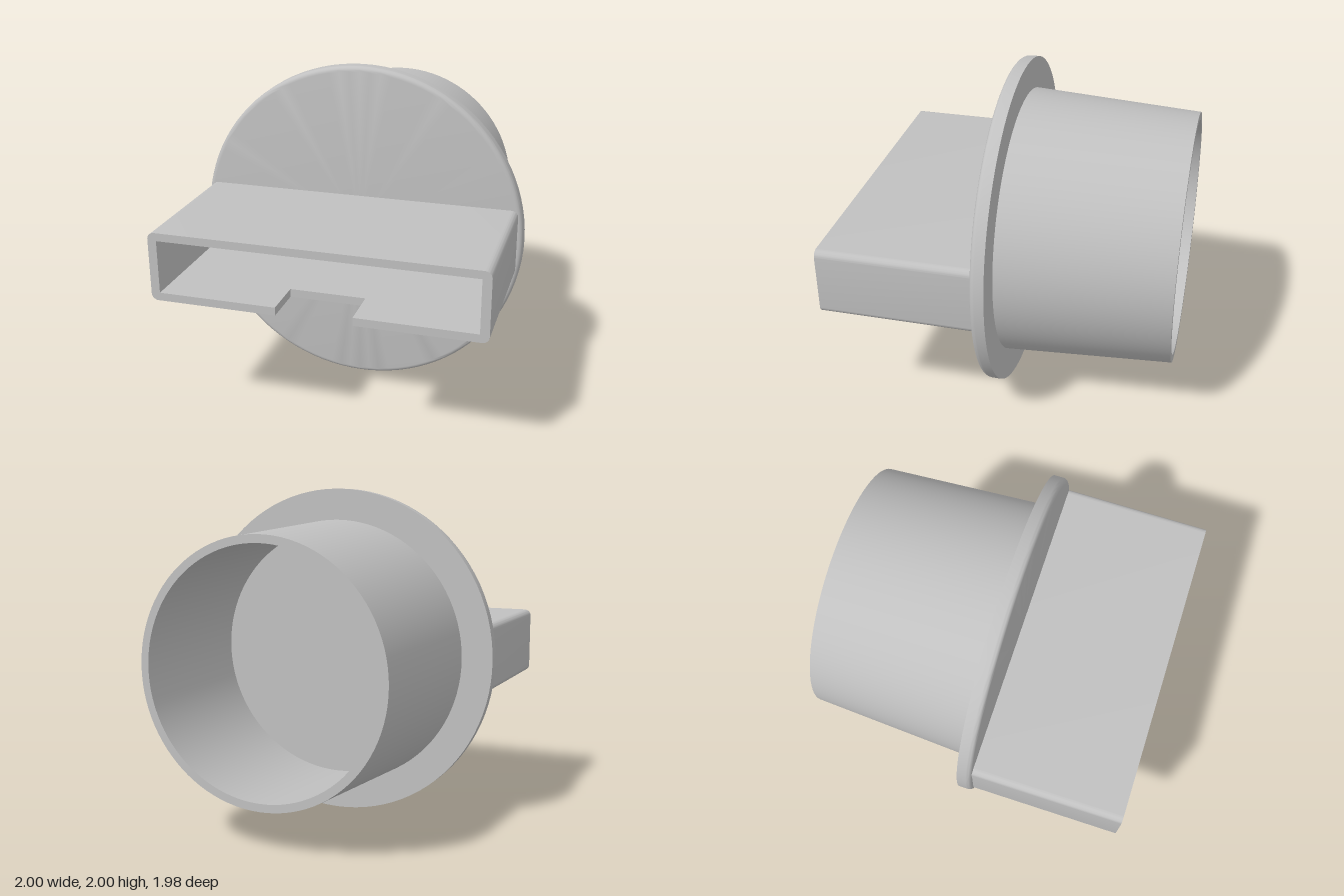
import * as THREE from 'three';
import { toCreasedNormals } from 'three/addons/utils/BufferGeometryUtils.js';

const grey = new THREE.MeshStandardMaterial({ color: 0xc0c0c0 });
grey.name = 'grey';

const CENTRE_Y = 1;
const BACK = -0.99, FRONT = 0.99;
const FLANGE_BACK = 0.01, FLANGE_FRONT = 0.095;

function part(name, geometry) {
  const mesh = new THREE.Mesh(toCreasedNormals(geometry, 0.6), grey);
  mesh.name = name;
  return mesh;
}

// Turns a [radius, z] profile around the z axis.
function turned(name, profile) {
  const geometry = new THREE.LatheGeometry(profile.map(([r, z]) => new THREE.Vector2(r, z)), 96);
  geometry.rotateX(Math.PI / 2);
  const mesh = part(name, geometry);
  mesh.position.y = CENTRE_Y;
  return mesh;
}

export function createModel() {
  const group = new THREE.Group();

  // Round flange with a filleted front edge
  const fillet = 0.03;
  const edge = [];
  for (let i = 0; i <= 6; i++) {
    const a = (i / 6) * Math.PI / 2;
    edge.push([1 - fillet + fillet * Math.cos(a), FLANGE_FRONT - fillet + fillet * Math.sin(a)]);
  }
  group.add(turned('flange', [[0, FLANGE_BACK], [1, FLANGE_BACK], ...edge, [0, FLANGE_FRONT]]));

  // Tapered hollow socket at the back
  group.add(turned('socket', [[0.765, FLANGE_BACK], [0.71, BACK], [0.757, BACK], [0.812, FLANGE_BACK]]));

  // Flat nozzle: a channel open along the middle of its floor
  const w = 0.965, top = 1.207, bottom = 0.797, r = 0.04;
  const iw = 0.913, iTop = 1.16, iBottom = 0.845;
  const slot = 0.222, slotDepth = 0.25;
  const s = new THREE.Shape();
  s.moveTo(slot, bottom);
  s.lineTo(w - r, bottom);
  s.absarc(w - r, bottom + r, r, -Math.PI / 2, 0, false);
  s.absarc(w - r, top - r, r, 0, Math.PI / 2, false);
  s.absarc(-w + r, top - r, r, Math.PI / 2, Math.PI, false);
  s.absarc(-w + r, bottom + r, r, Math.PI, Math.PI * 1.5, false);
  s.lineTo(-slot, bottom);
  s.lineTo(-slot, iBottom);
  s.lineTo(-iw, iBottom);
  s.lineTo(-iw, iTop);
  s.lineTo(iw, iTop);
  s.lineTo(iw, iBottom);
  s.lineTo(slot, iBottom);
  s.closePath();
  const start = 0.06;
  const channel = part('nozzle', new THREE.ExtrudeGeometry(s, {
    depth: FRONT - start, bevelEnabled: false, curveSegments: 6,
  }));
  channel.position.z = start;
  group.add(channel);

  // Floor piece that closes the channel behind the notch
  const floorLength = FRONT - slotDepth - start;
  const floor = part('nozzleFloor', new THREE.BoxGeometry(2 * slot, iBottom - bottom, floorLength));
  floor.position.set(0, (iBottom + bottom) / 2, start + floorLength / 2);
  group.add(floor);

  return group;
}
